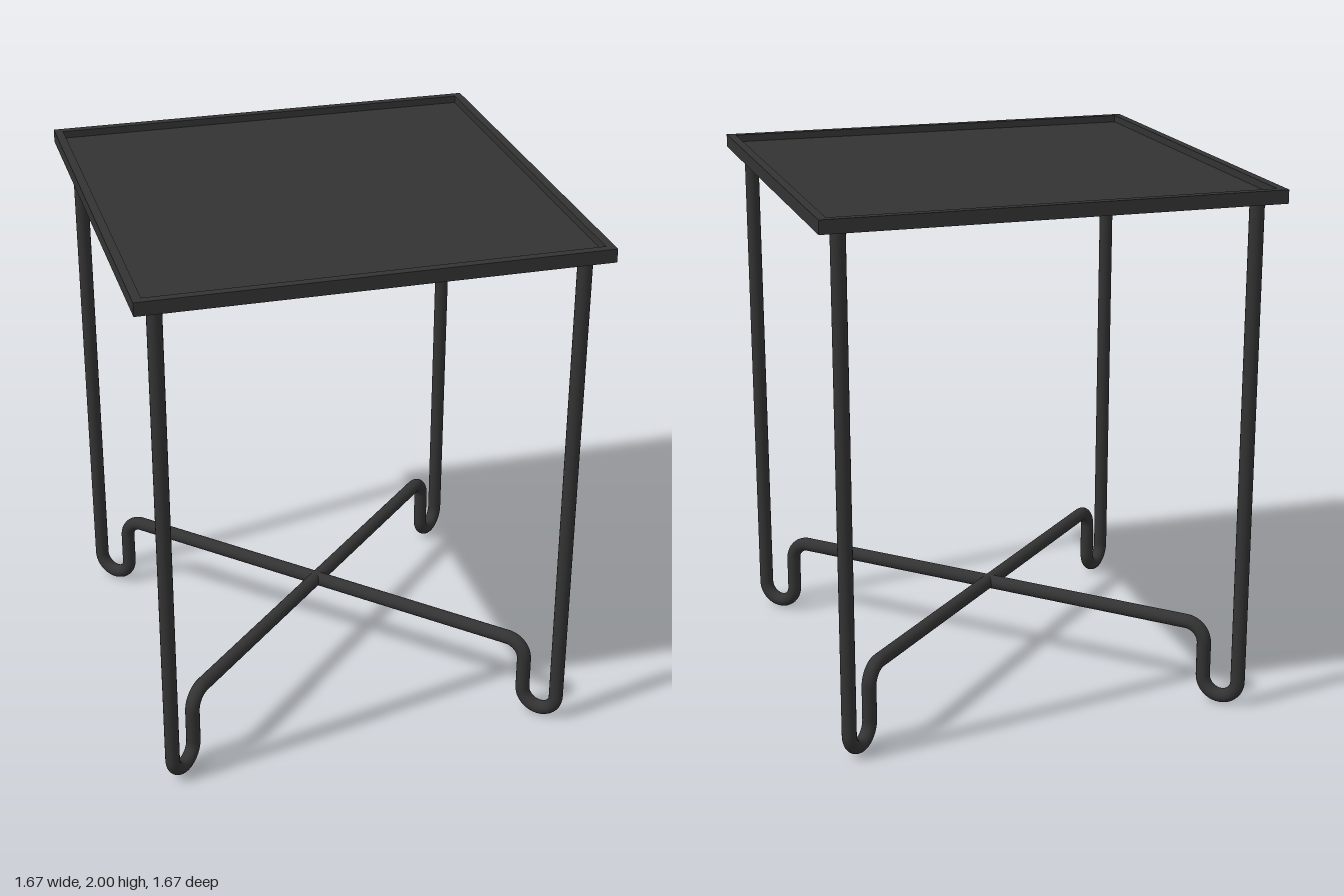
import * as THREE from 'three';

export function createModel() {
  const model = new THREE.Group();
  const material = new THREE.MeshStandardMaterial({ color: 0x333333 });

  const add = (parent, name, geometry, x = 0, y = 0, z = 0) => {
    const mesh = new THREE.Mesh(geometry, material);
    mesh.name = name;
    mesh.position.set(x, y, z);
    parent.add(mesh);
    return mesh;
  };

  // Tray top: square rim around a recessed panel
  const half = 0.837, inner = 0.805, bottom = 1.95, panelTop = 1.973;
  const square = (Type, s) => new Type([[-s, -s], [s, -s], [s, s], [-s, s]].map(([x, y]) => new THREE.Vector2(x, y)));
  const rimShape = square(THREE.Shape, half);
  rimShape.holes.push(square(THREE.Path, inner));
  const rim = new THREE.ExtrudeGeometry(rimShape, { depth: 2 - bottom, bevelEnabled: false });
  rim.rotateX(-Math.PI / 2);
  add(model, 'trayRim', rim, 0, bottom, 0);
  add(model, 'trayPanel', new THREE.BoxGeometry(inner * 2, panelTop - bottom, inner * 2), 0, (panelTop + bottom) / 2, 0);

  // Bent tube frame, laid out along each diagonal
  const tube = 0.027, sides = 20;
  const outer = 0.755 * Math.SQRT2, riser = 0.655 * Math.SQRT2;
  const footRadius = (outer - riser) / 2, footY = tube + footRadius;
  const bendRadius = 0.075, barY = 0.303, bendY = barY - bendRadius;
  const rod = (length) => new THREE.CylinderGeometry(tube, tube, length, sides, 1, true);

  for (let i = 0; i < 4; i++) {
    const leg = new THREE.Group();
    leg.name = 'leg' + (i + 1);
    leg.rotation.y = Math.PI / 4 + i * Math.PI / 2;
    add(leg, 'legPost', rod(bottom - footY), outer, (bottom + footY) / 2);
    const foot = add(leg, 'footBend', new THREE.TorusGeometry(footRadius, tube, sides, 24, Math.PI), (outer + riser) / 2, footY);
    foot.rotation.z = Math.PI;
    add(leg, 'riser', rod(bendY - footY), riser, (bendY + footY) / 2);
    add(leg, 'upperBend', new THREE.TorusGeometry(bendRadius, tube, sides, 14, Math.PI / 2), riser - bendRadius, bendY);
    model.add(leg);
  }

  // Crossing stretchers
  for (const angle of [Math.PI / 4, -Math.PI / 4]) {
    const bar = rod(2 * (riser - bendRadius));
    bar.rotateZ(Math.PI / 2);
    add(model, 'crossStretcher', bar, 0, barY, 0).rotation.y = angle;
  }

  return model;
}
